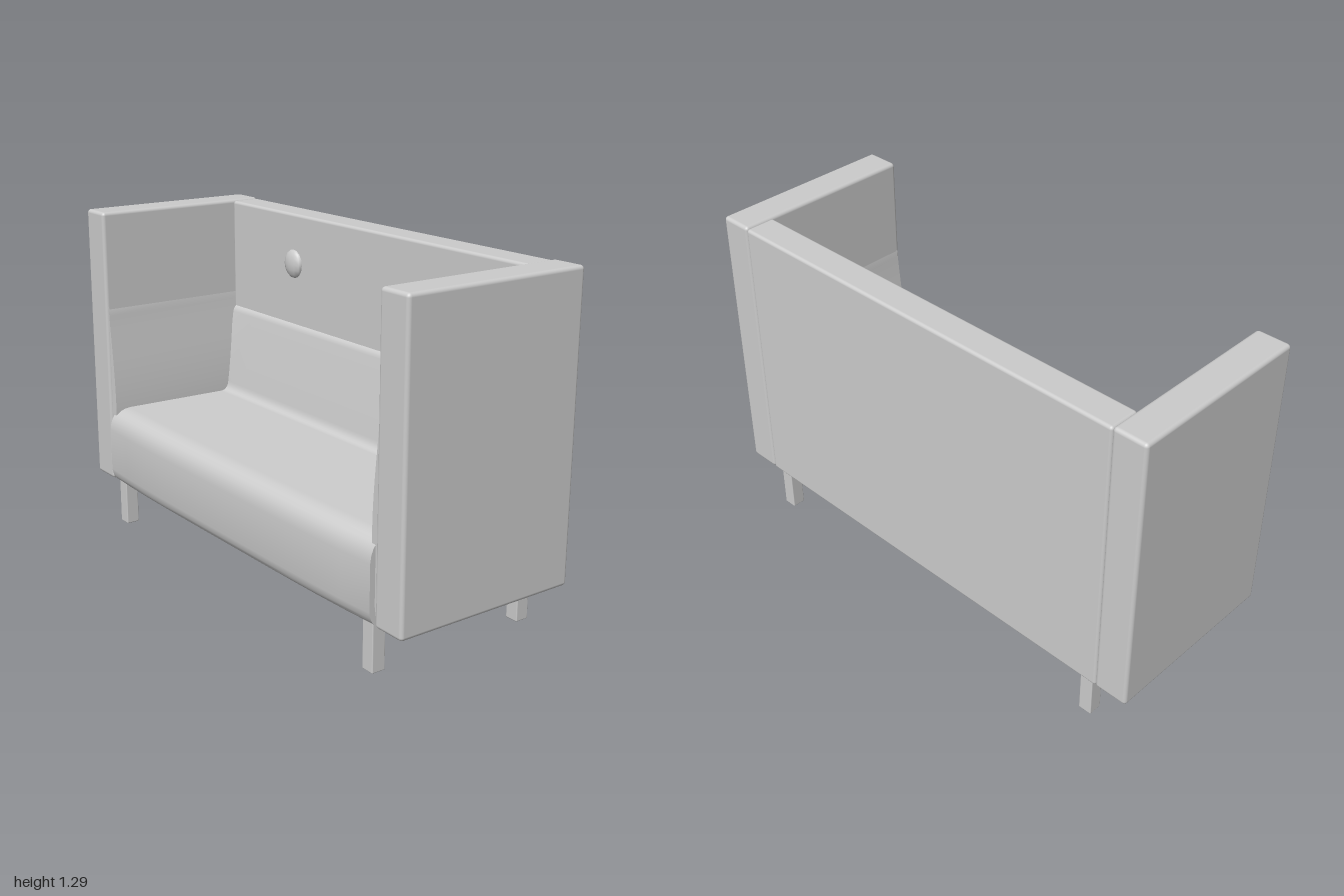
import * as THREE from 'three';
import { RoundedBoxGeometry } from 'three/addons/geometries/RoundedBoxGeometry.js';
import { toCreasedNormals } from 'three/addons/utils/BufferGeometryUtils.js';

const material = new THREE.MeshStandardMaterial({ color: 0xcccccc });

function add(group, name, geometry) {
  const mesh = new THREE.Mesh(geometry, material);
  mesh.name = name;
  group.add(mesh);
  return mesh;
}

// Rounded box given by its min and max on each axis
function slab(group, name, [x0, x1], [y0, y1], [z0, z1], radius) {
  const geometry = new RoundedBoxGeometry(x1 - x0, y1 - y0, z1 - z0, 3, radius);
  geometry.translate((x0 + x1) / 2, (y0 + y1) / 2, (z0 + z1) / 2);
  return add(group, name, geometry);
}

// Seat and sloping lower back in one side profile, run along z
function seatGeometry() {
  const half = 0.855;
  const s = new THREE.Shape();
  s.moveTo(0.28, 0.182);
  s.lineTo(-0.36, 0.182);
  s.quadraticCurveTo(-0.378, 0.19, -0.385, 0.23);
  s.lineTo(-0.385, 0.4);
  s.quadraticCurveTo(-0.38, 0.485, -0.3, 0.488);
  s.lineTo(0.16, 0.482);
  s.quadraticCurveTo(0.192, 0.482, 0.198, 0.52);
  s.lineTo(0.242, 0.82);
  s.quadraticCurveTo(0.248, 0.85, 0.28, 0.85);
  s.closePath();
  const geometry = new THREE.ExtrudeGeometry(s, {
    depth: half * 2, steps: 12, curveSegments: 6, bevelEnabled: false,
  });
  geometry.translate(0, 0, -half);
  // The front bows out gently towards the middle
  const p = geometry.attributes.position;
  for (let i = 0; i < p.count; i++) {
    if (p.getX(i) < -0.25) p.setX(i, p.getX(i) + 0.014 * (p.getZ(i) / half) ** 4);
  }
  return toCreasedNormals(geometry, 0.7);
}

// Soft swelling on the inner face of an arm; side is +1 or -1 along z
function armPadGeometry(side) {
  const s = new THREE.Shape();
  s.moveTo(0.88, 0.2);
  s.lineTo(0.88, 0.95);
  s.lineTo(0.867, 0.92);
  s.bezierCurveTo(0.862, 0.8, 0.838, 0.68, 0.836, 0.5);
  s.quadraticCurveTo(0.838, 0.3, 0.866, 0.2);
  s.closePath();
  const geometry = new THREE.ExtrudeGeometry(s, {
    depth: 0.61, curveSegments: 8, bevelEnabled: false,
  });
  // Shape x becomes z; the extrusion runs along x
  geometry.rotateY(-Math.PI / 2);
  geometry.translate(0.26, 0, 0);
  if (side < 0) {
    geometry.rotateY(Math.PI);
    geometry.translate(-0.09, 0, 0);
  }
  return toCreasedNormals(geometry, 0.6);
}

export function createModel() {
  const sofa = new THREE.Group();
  sofa.name = 'sofa';

  slab(sofa, 'backrest', [0.257, 0.38], [0.18, 1.29], [-0.868, 0.868], 0.012);
  add(sofa, 'seat', seatGeometry());

  for (const side of [-1, 1]) {
    const prefix = side > 0 ? 'left' : 'right';
    const z = side > 0 ? [0.866, 1] : [-1, -0.866];
    slab(sofa, prefix + 'Arm', [-0.36, 0.38], [0.18, 1.295], z, 0.014);
    add(sofa, prefix + 'ArmPad', armPadGeometry(side));

    // Upholstery button
    const button = add(sofa, prefix + 'Button', new THREE.SphereGeometry(1, 12, 8));
    button.scale.set(0.026, 0.058, 0.056);
    button.position.set(0.259, 1.09, side * 0.43);

    // Square legs
    for (const [end, x] of [['Front', -0.318], ['Back', 0.335]]) {
      slab(sofa, prefix + end + 'Leg', [x - 0.027, x + 0.027], [0, 0.19],
        [side * 0.815 - 0.027, side * 0.815 + 0.027], 0.004);
    }
  }
  return sofa;
}
